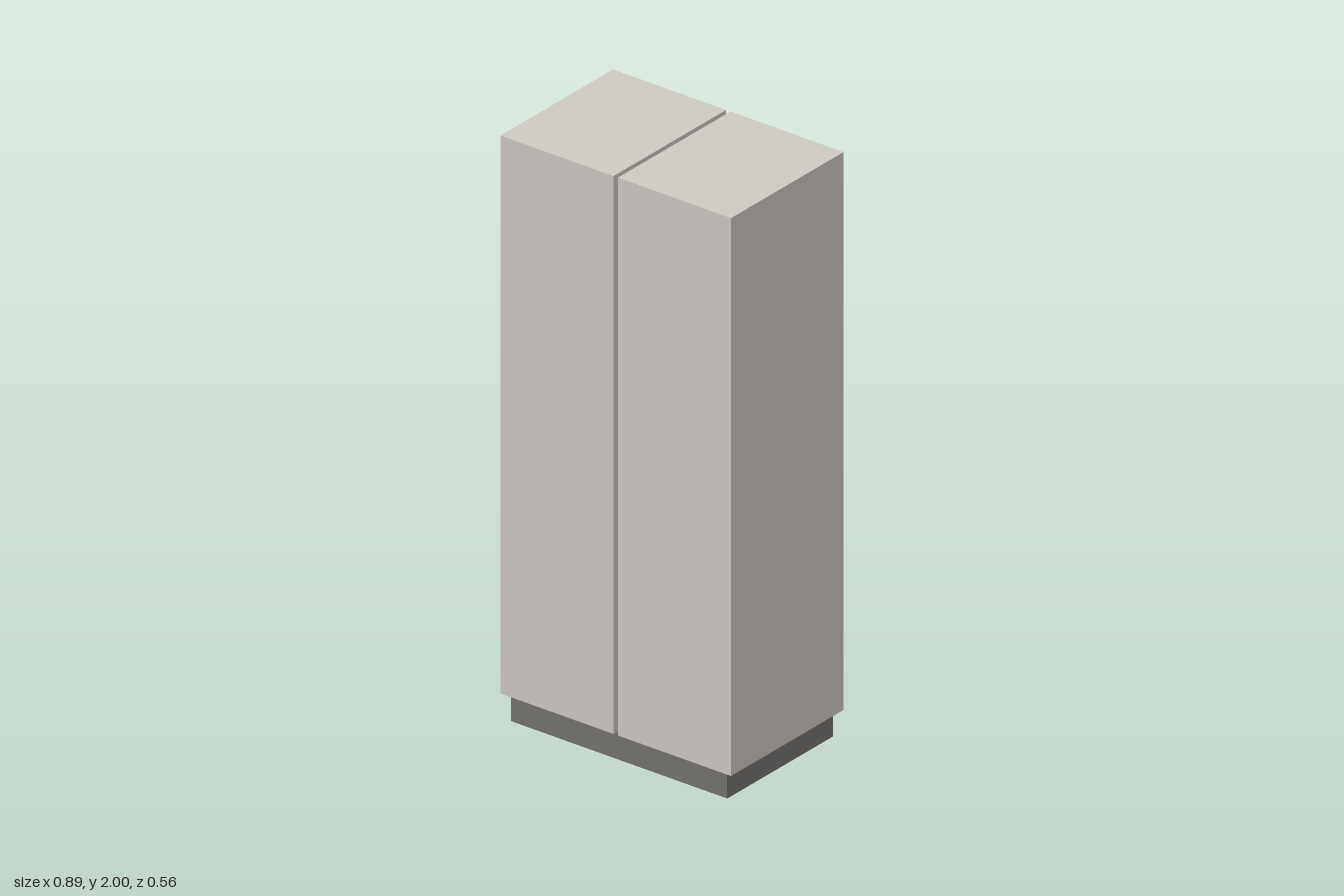
import * as THREE from 'three';

const HEIGHT = 2, BASE_H = 0.0926;
const HALF_W = 0.4444, DEPTH = 0.5556, GAP = 0.0167;

function box(name, w, h, d, x, y, material) {
  const mesh = new THREE.Mesh(new THREE.BoxGeometry(w, h, d), material);
  mesh.name = name;
  mesh.position.set(x, y + h / 2, 0);
  return mesh;
}

export function createModel() {
  const group = new THREE.Group();
  group.name = 'twinCabinet';
  const bodyMaterial = new THREE.MeshStandardMaterial({ color: 0xcecac4 });
  const baseMaterial = new THREE.MeshStandardMaterial({ color: 0x757370 });

  // Recessed dark plinth
  group.add(box('plinth', 0.8333, BASE_H, 0.522, 0, 0, baseMaterial));

  // Two tall bodies, mirrored across a narrow gap
  const width = HALF_W - GAP / 2;
  for (const side of [1, -1]) {
    const x = side * (GAP / 2 + width / 2);
    const name = side > 0 ? 'leftBody' : 'rightBody';
    group.add(box(name, width, HEIGHT - BASE_H, DEPTH, x, BASE_H, bodyMaterial));
  }
  return group;
}
